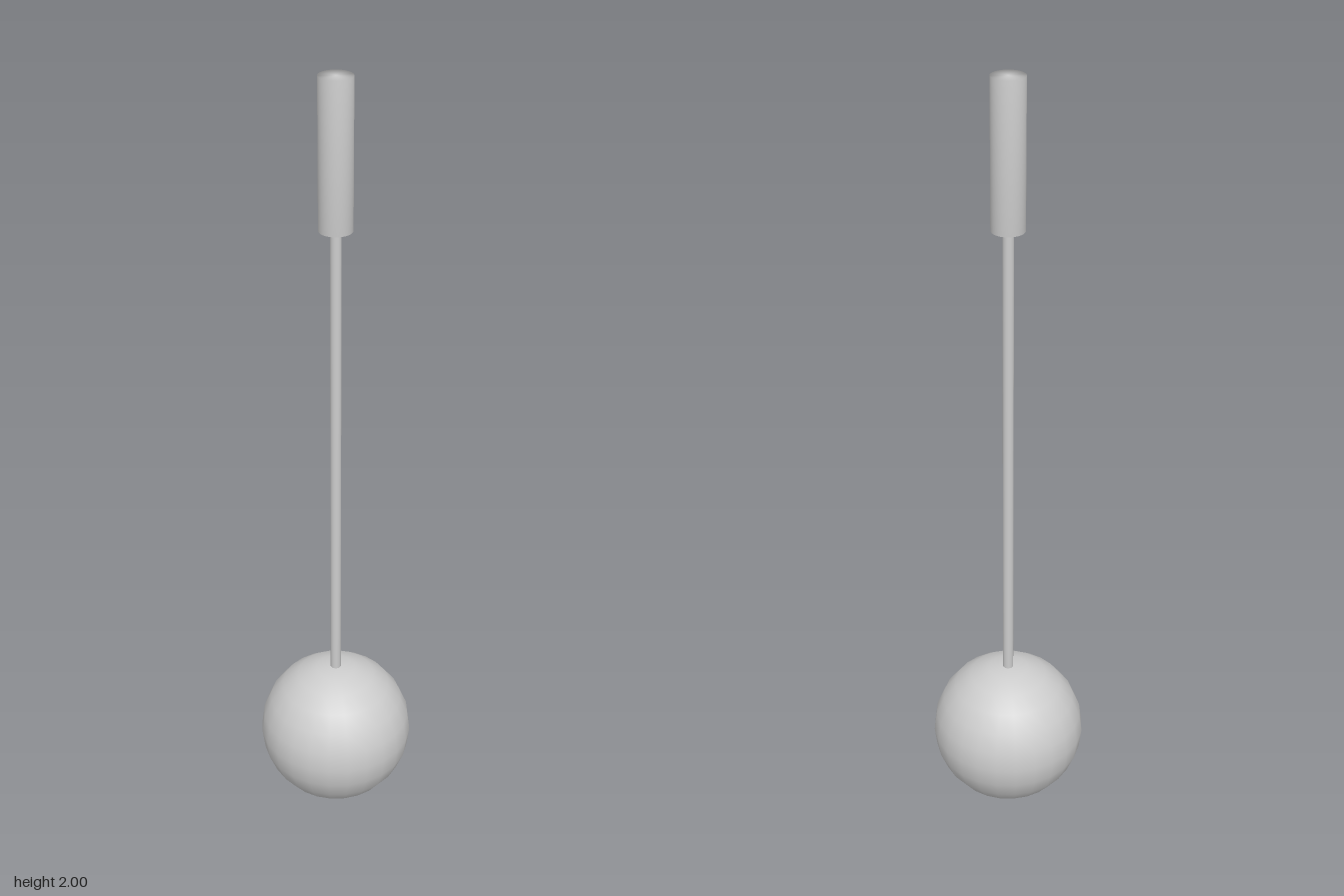
import * as THREE from 'three';
import { mergeVertices } from 'three/addons/utils/BufferGeometryUtils.js';

// Capped cylinder between two heights, with normals blended over the rims
function softCylinder(radius, bottom, top, sides) {
  const geometry = new THREE.CylinderGeometry(radius, radius, top - bottom, sides);
  geometry.translate(0, (top + bottom) / 2, 0);
  geometry.deleteAttribute('uv');
  geometry.deleteAttribute('normal');
  const merged = mergeVertices(geometry, 1e-5);
  merged.computeVertexNormals();
  return merged;
}

export function createModel() {
  const group = new THREE.Group();
  group.name = 'ballOnRod';

  const grey = new THREE.MeshStandardMaterial({ color: 0xcccccc });
  grey.name = 'light grey';

  const add = (name, geometry) => {
    const mesh = new THREE.Mesh(geometry, grey);
    mesh.name = name;
    group.add(mesh);
    return mesh;
  };

  // Heavy ball at the foot
  add('ball', new THREE.SphereGeometry(0.2, 24, 12)).position.y = 0.2;

  // Thin rod joining ball and grip
  add('rod', softCylinder(0.0135, 0.39, 1.64, 24));

  // Thicker grip at the top
  add('grip', softCylinder(0.041, 1.637, 2, 32));

  return group;
}
